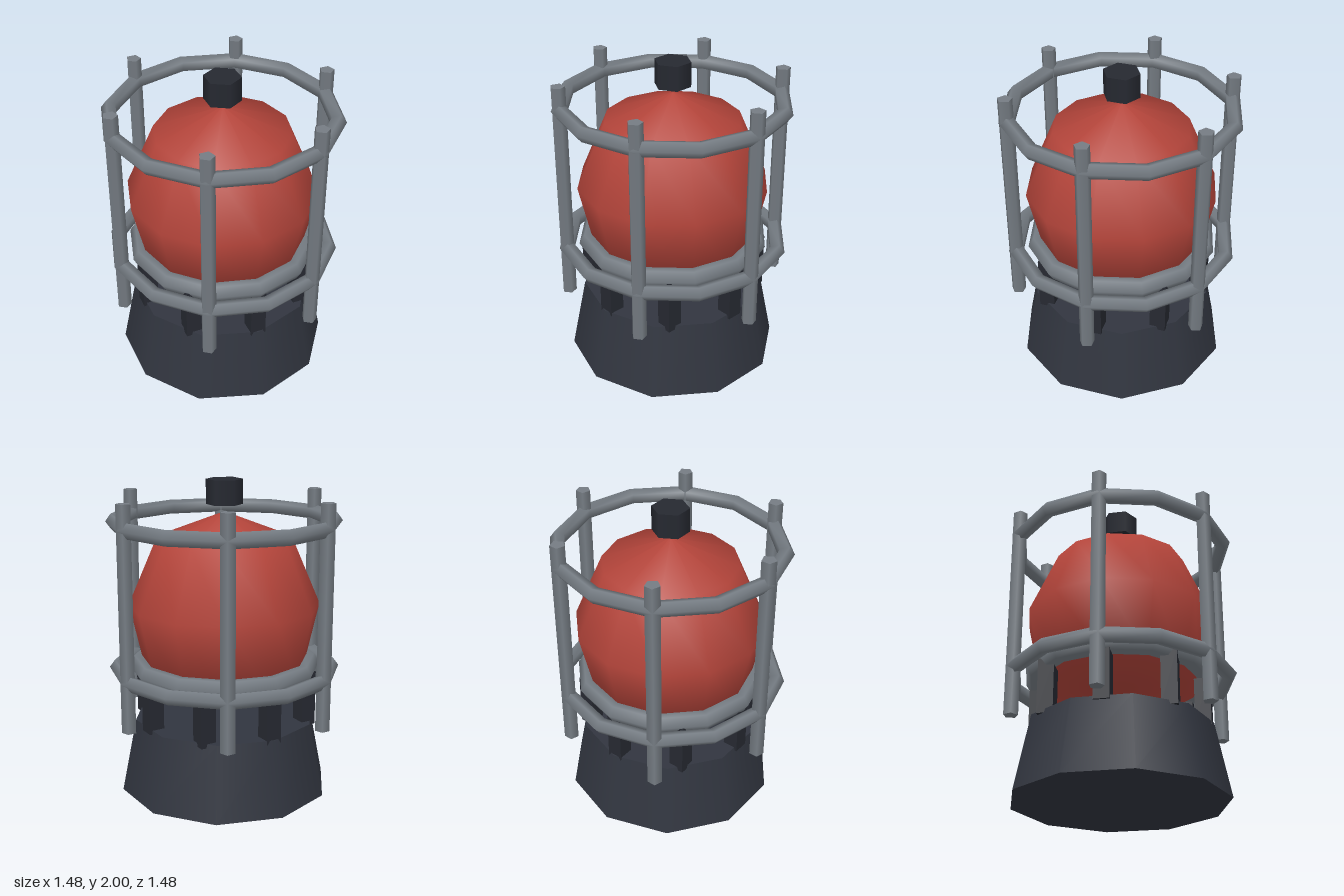
import * as THREE from 'three';

export function createModel() {
  const model = new THREE.Group();
  const paint = (color) => new THREE.MeshStandardMaterial({ color });
  const steel = paint(0x757c83), dark = paint(0x31353f), black = paint(0x262931), red = paint(0xb3443a);

  const add = (name, geometry, material, x = 0, y = 0, z = 0) => {
    const mesh = new THREE.Mesh(geometry, material);
    mesh.name = name;
    mesh.position.set(x, y, z);
    model.add(mesh);
    return mesh;
  };
  const addRing = (name, radius, tube, sides, y) =>
    add(name, new THREE.TorusGeometry(radius, tube, sides, 12).rotateX(-Math.PI / 2), steel, 0, y, 0);

  // Tapered ten-sided foot
  add('base', new THREE.CylinderGeometry(0.585, 0.68, 0.475, 10), dark, 0, 0.2375, 0);

  // Eight square supports between the base and the collar
  const supportGeo = new THREE.BoxGeometry(0.1, 0.35, 0.1);
  for (let i = 0; i < 8; i++) {
    const a = (i * Math.PI) / 4;
    add('support', supportGeo, black, Math.sin(a) * 0.525, 0.625, Math.cos(a) * 0.525);
  }

  // Collar holding the globe
  addRing('collar', 0.545, 0.067, 6, 0.815);

  // Globe: domed above, gently tapered below, closed underneath
  const profile = [[0, 0.745], [0.505, 0.755], [0.607, 1.21], [0.425, 1.635], [0, 1.8]]
    .map(([r, y]) => new THREE.Vector2(r, y));
  add('globe', new THREE.LatheGeometry(profile, 12), red);

  // Hexagonal cap hovering over the globe
  add('cap', new THREE.CylinderGeometry(0.115, 0.115, 0.155, 6), black, 0, 1.9225, 0);

  // Cage: six uprights and two hoops
  const barGeo = new THREE.CylinderGeometry(0.047, 0.047, 1.42, 5);
  for (let i = 0; i < 6; i++) {
    const a = (i * Math.PI) / 3;
    add('cageBar', barGeo, steel, Math.cos(a) * 0.693, 1.187, Math.sin(a) * 0.693);
  }
  addRing('lowerHoop', 0.69, 0.05, 5, 0.795);
  addRing('upperHoop', 0.69, 0.05, 5, 1.74);

  return model;
}
